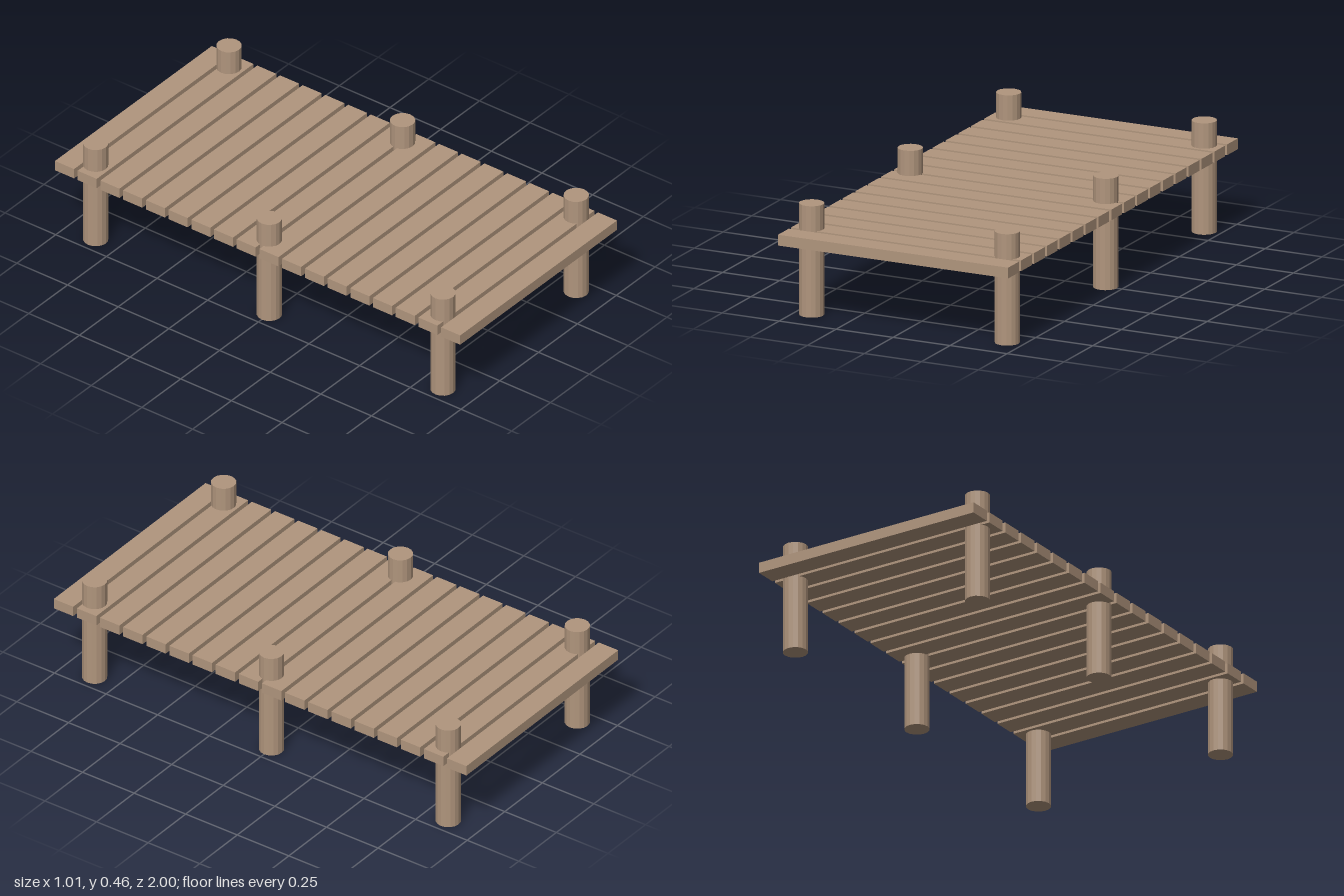
import * as THREE from 'three';

export function createModel() {
  const model = new THREE.Group();
  model.name = 'dock';
  const wood = new THREE.MeshStandardMaterial({ color: 0xb0957d, flatShading: true });
  wood.name = 'weathered wood';

  // Deck: evenly spaced planks running across the walkway
  const count = 18, plankWidth = 0.094;
  const pitch = (2 - plankWidth) / (count - 1);
  const plankGeometry = new THREE.BoxGeometry(1.01, 0.044, plankWidth);
  const deck = new THREE.Group();
  deck.name = 'deck';
  for (let i = 0; i < count; i++) {
    const plank = new THREE.Mesh(plankGeometry, wood);
    plank.name = `plank${i + 1}`;
    plank.position.set(0, 0.33, (i - (count - 1) / 2) * pitch);
    deck.add(plank);
  }
  model.add(deck);

  // Posts: three pairs rising through the deck
  const postHeight = 0.455;
  const postGeometry = new THREE.CylinderGeometry(0.05, 0.05, postHeight, 16);
  const posts = new THREE.Group();
  posts.name = 'posts';
  for (const [row, z] of [['front', 0.857], ['middle', 0], ['back', -0.857]]) {
    for (const [side, x] of [['Left', 0.429], ['Right', -0.429]]) {
      const post = new THREE.Mesh(postGeometry, wood);
      post.name = `${row}${side}Post`;
      post.position.set(x, postHeight / 2, z);
      posts.add(post);
    }
  }
  model.add(posts);
  return model;
}
